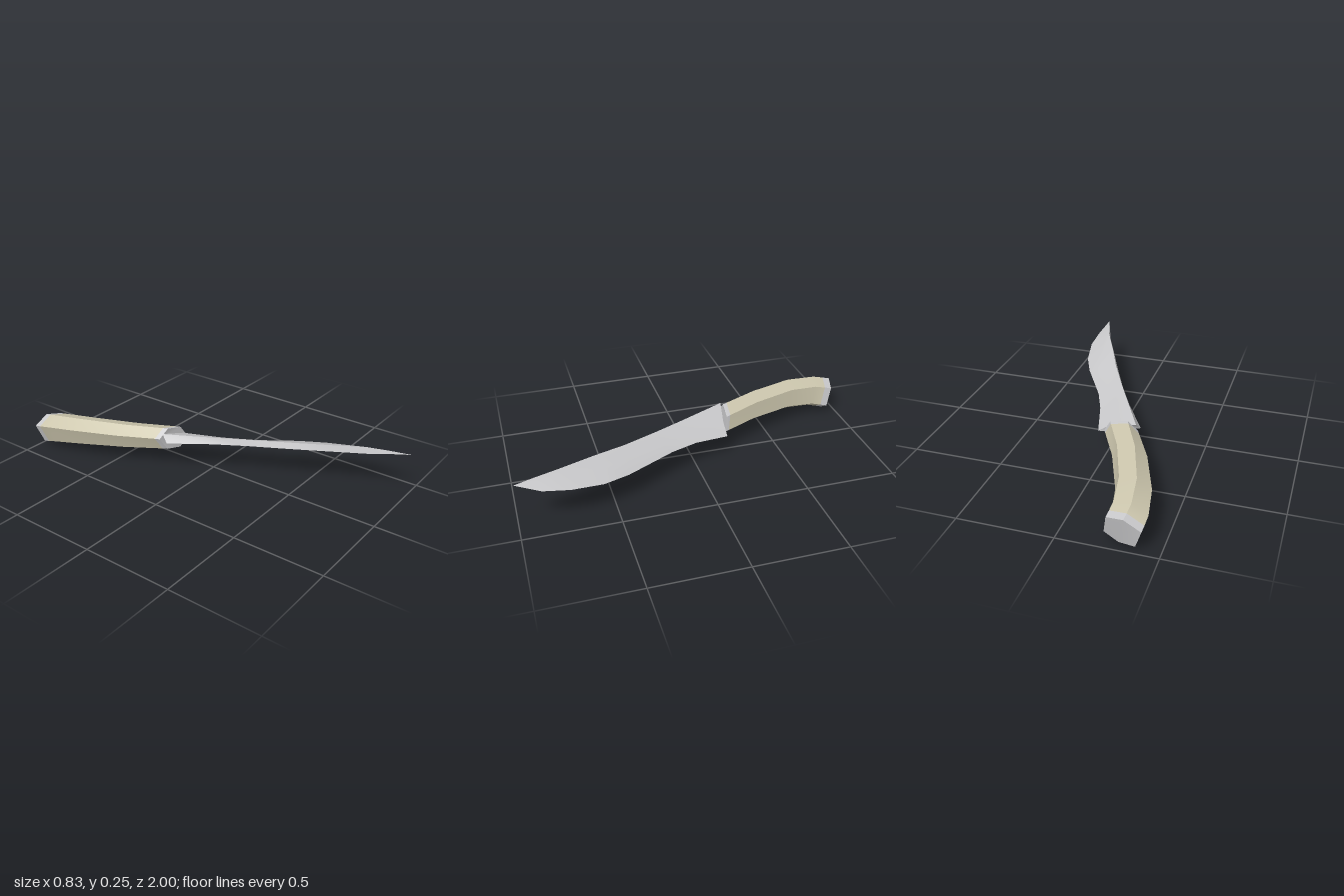
import * as THREE from 'three';

// Skin a list of rings. Each band lists the ring columns that share smooth normals,
// so the edges between bands stay sharp. matOf(i) picks the material of segment i.
function skin(rings, bands, matOf = () => 0) {
  const pos = [], index = [], geo = new THREE.BufferGeometry();
  const starts = bands.map(band => {
    const start = pos.length / 3;
    rings.forEach(ring => band.forEach(k => pos.push(...ring[k])));
    return start;
  });
  for (let i = 0; i < rings.length - 1; i++) {
    const first = index.length;
    bands.forEach((band, n) => {
      const w = band.length;
      for (let k = 0; k < w - 1; k++) {
        const a = starts[n] + i * w + k, b = a + 1, d = a + w, c = d + 1;
        index.push(a, d, b, b, d, c);
      }
    });
    geo.addGroup(first, index.length - first, matOf(i));
  }
  geo.setAttribute('position', new THREE.Float32BufferAttribute(pos, 3));
  geo.setIndex(index);
  geo.computeVertexNormals();
  return geo;
}

// Flat end face as a triangle fan
function cap(ring) {
  const index = [];
  for (let k = 1; k < ring.length - 1; k++) index.push(0, k, k + 1);
  const geo = new THREE.BufferGeometry();
  geo.setAttribute('position', new THREE.Float32BufferAttribute(ring.flat(), 3));
  geo.setIndex(index);
  geo.computeVertexNormals();
  return geo;
}

export function createModel() {
  const steel = new THREE.MeshStandardMaterial({ color: 0xc9c9cb });
  const bone = new THREE.MeshStandardMaterial({ color: 0xcdc7ae });
  steel.name = 'steel';
  bone.name = 'bone';

  const model = new THREE.Group();
  model.name = 'knife';
  const add = (name, geo, mat) => {
    const mesh = new THREE.Mesh(geo, mat);
    mesh.name = name;
    model.add(mesh);
  };

  // Handle: a six-sided section swept along a curved centre line
  const hexFront = [[-0.1, 0.025, -0.02], [-0.06, -0.045, 0], [0.04, -0.07, 0.01],
    [0.1, -0.025, 0.02], [0.06, 0.045, 0], [-0.04, 0.07, -0.01]];
  const hexBack = [[-0.105, 0.04, -0.03], [-0.07, -0.065, -0.005], [0.02, -0.085, 0.03],
    [0.09, -0.04, 0.03], [0.07, 0.065, 0], [-0.02, 0.085, -0.025]];
  const path = [[-0.08, 0.155, -0.22], [-0.092, 0.155, -0.245], [-0.19, 0.15, -0.44],
    [-0.285, 0.137, -0.7], [-0.315, 0.115, -0.87], [-0.313, 0.1, -0.93], [-0.31, 0.09, -0.97]];
  const handleRings = path.map(p => {
    const t = (p[2] + 0.22) / -0.75;
    return hexFront.map((f, k) => f.map((v, j) => p[j] + v + (hexBack[k][j] - v) * t));
  });
  const sides = [0, 1, 2, 3, 4, 5].map(k => [k, (k + 1) % 6]);
  const last = path.length - 2;
  add('handle', skin(handleRings, sides, i => (i === 0 || i === last ? 1 : 0)), [bone, steel]);
  add('handleFrontFace', cap(handleRings[0]), steel);
  add('pommelFace', cap([...handleRings[last + 1]].reverse()), steel);

  // Blade stations from tip to root: spine top, spine bottom, ridge centre, edge, half thickness
  const stations = [
    [[0.38, 0.245, 1], [0.38, 0.245, 1], [0.38, 0.245, 1], [0.38, 0.245, 1], 0],
    [[0.345, 0.249, 0.89], [0.34, 0.232, 0.89], [0.36, 0.233, 0.88], [0.41, 0.205, 0.87], 0.006],
    [[0.31, 0.25, 0.78], [0.3, 0.215, 0.78], [0.325, 0.223, 0.77], [0.413, 0.187, 0.73], 0.013],
    [[0.22, 0.238, 0.58], [0.21, 0.204, 0.58], [0.295, 0.195, 0.55], [0.38, 0.165, 0.56], 0.015],
    [[0.145, 0.226, 0.4], [0.13, 0.194, 0.4], [0.25, 0.178, 0.4], [0.32, 0.155, 0.42], 0.015],
    [[0.05, 0.219, 0.2], [0.038, 0.186, 0.2], [0.13, 0.17, 0.2], [0.17, 0.15, 0.15], 0.015],
    [[-0.035, 0.214, 0.03], [-0.05, 0.18, 0.03], [0.04, 0.167, 0.03], [0.11, 0.145, 0], 0.018],
    [[-0.165, 0.21, -0.23], [-0.18, 0.17, -0.19], [-0.02, 0.147, -0.2], [0.055, 0.12, -0.2], 0.022],
  ];
  const bladeRings = stations.map(([top, bottom, [x, y, z], edge, h]) =>
    [top, bottom, [x, y - h, z], edge, [x, y + h, z]]);
  add('blade', skin(bladeRings, [[0, 1], [1, 2, 3], [3, 4, 0]]), [steel]);
  add('bladeRoot', cap([...bladeRings[bladeRings.length - 1]].reverse()), steel);

  return model;
}
